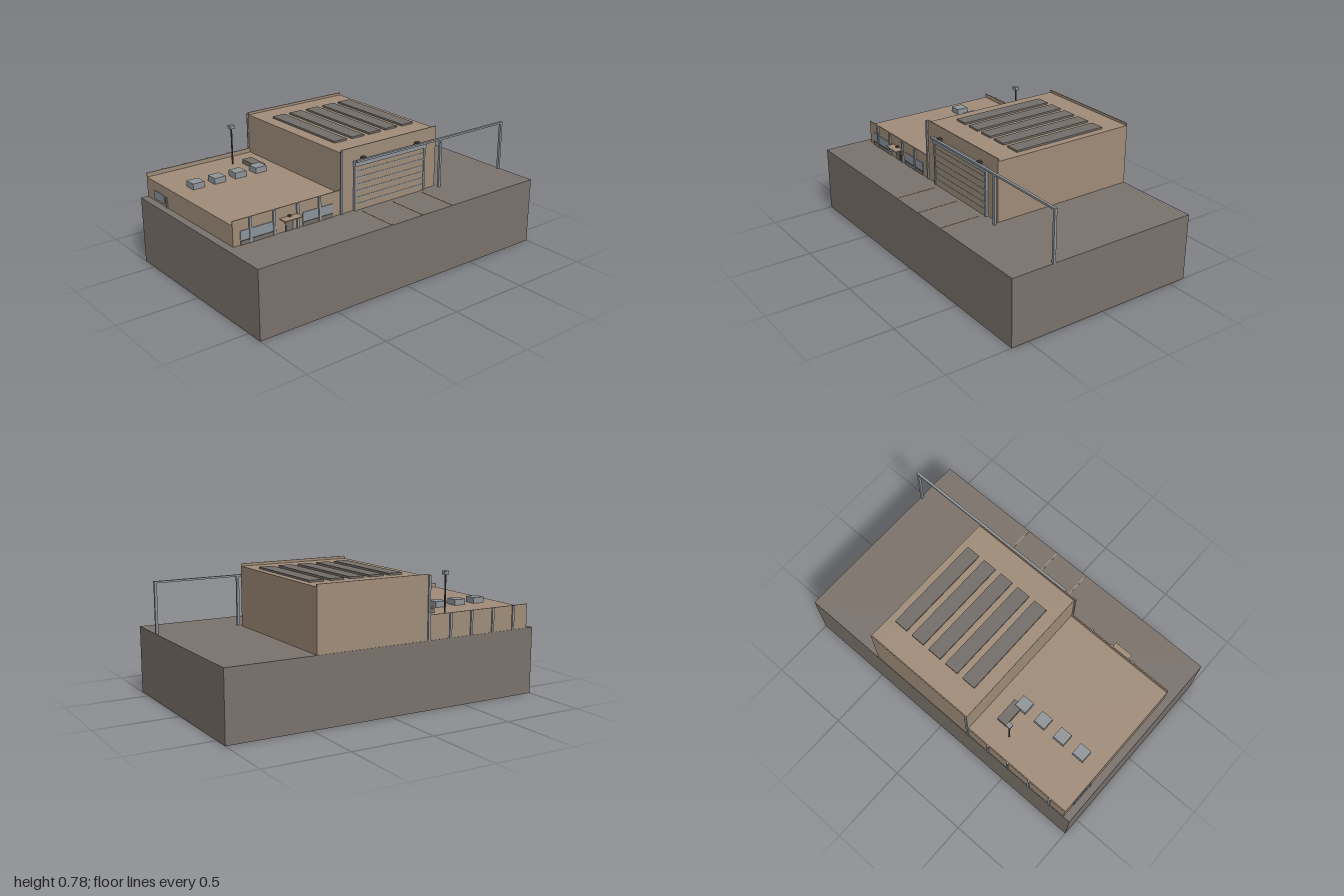
import * as THREE from 'three';

const mat = (name, color, side = THREE.FrontSide) => {
  const m = new THREE.MeshStandardMaterial({ color, side });
  m.name = name;
  return m;
};

export function createModel() {
  const model = new THREE.Group();
  model.name = 'depotBuilding';
  const tan = mat('tanWall', 0xa08c79);
  const ground = mat('groundBrownGrey', 0x7b726b, THREE.DoubleSide);
  const panel = mat('panelGrey', 0x746e69);
  const steel = mat('steelGrey', 0x90959a);
  const glass = mat('windowGlass', 0x8b949c);
  const dark = mat('darkMetal', 0x45423f);

  // box given by its extents along each axis
  const box = (name, m, [x0, x1], [y0, y1], [z0, z1]) => {
    const mesh = new THREE.Mesh(new THREE.BoxGeometry(x1 - x0, y1 - y0, z1 - z0), m);
    mesh.position.set((x0 + x1) / 2, (y0 + y1) / 2, (z0 + z1) / 2);
    mesh.name = name;
    model.add(mesh);
    return mesh;
  };
  const around = (c, w) => [c - w / 2, c + w / 2];

  // Ground block: open underneath, so the bottom face is dropped
  const G = 0.405, F = 0.31, B = -0.603;
  const base = box('groundBlock', ground, [-1, 1], [0, G], [-0.605, 0.605]);
  const index = Array.from(base.geometry.index.array);
  index.splice(18, 6);
  base.geometry.setIndex(index);
  base.geometry.clearGroups();

  // Two main volumes with low parapets along front and back
  const volumes = [['annex', [-0.955, -0.243], 0.525, 0.55], ['hall', [-0.243, 0.468], 0.765, 0.78]];
  for (const [name, x, roof, top] of volumes) {
    box(name, tan, x, [G, roof], [B, F]);
    box(name + 'FrontParapet', tan, x, [roof, top], [F - 0.006, F]);
    box(name + 'BackParapet', tan, x, [roof, top], [B, B + 0.006]);
  }

  // Pilasters on front and back walls
  for (const [z0, z1] of [[F, F + 0.009], [B - 0.008, B]]) {
    for (const x of [-0.848, -0.697, -0.543, -0.395]) box('annexPilaster', steel, around(x, 0.014), [G, 0.55], [z0, z1]);
    box('hallPilaster', steel, around(-0.244, 0.014), [G, 0.775], [z0, z1]);
  }

  // Annex front windows with plinths, entrance door and canopy
  for (const [x0, x1] of [[-0.91, -0.685], [-0.51, -0.305]]) {
    box('window', glass, [x0, x1], [0.43, 0.485], [F, F + 0.004]);
    box('windowPlinth', panel, [x0, x1], [G, 0.428], [F, F + 0.005]);
    box('windowSill', dark, [x0, x1], [0.426, 0.43], [F, F + 0.006]);
  }
  box('doorFrame', dark, [-0.627, -0.573], [G, 0.475], [F, F + 0.003]);
  box('entranceDoor', panel, [-0.621, -0.579], [G, 0.469], [F, F + 0.005]);
  box('canopy', tan, [-0.66, -0.54], [0.483, 0.488], [F, 0.362]);
  box('entranceLamp', dark, around(-0.6, 0.016), [0.488, 0.496], [F, 0.325]);

  // Side window and downpipe on the annex end wall
  box('endWindow', glass, [-0.959, -0.955], [0.42, 0.47], [-0.52, -0.4]);
  box('endPipe', steel, [-0.961, -0.955], [G, 0.47], around(-0.375, 0.012));

  // Sliding hall door with bands, rows of slots, jambs and header
  box('hallDoor', tan, [-0.145, 0.37], [G, 0.675], [F, 0.322]);
  for (const y of [0.443, 0.482, 0.522, 0.56, 0.6, 0.637])
    box('doorBand', steel, [-0.145, 0.37], around(y, 0.008), [0.322, 0.324]);
  for (const x of [-0.15, 0.368]) box('doorJamb', steel, around(x, 0.012), [G, 0.67], [F, 0.326]);
  box('doorHeader', steel, [-0.157, 0.376], [0.67, 0.7], [F, 0.33]);
  for (const x of [-0.093, 0.31]) box('railHanger', dark, around(x, 0.024), [0.695, 0.716], [F, 0.334]);

  // Overhead rail running past the hall on two posts
  box('doorRail', steel, [-0.157, 1], [0.7, 0.711], [0.332, 0.348]);
  for (const x of [0.478, 0.992]) box('railPost', steel, around(x, 0.015), [G, 0.701], [0.333, 0.348]);

  // Painted bay lines
  for (const x of [-0.118, 0.11, 0.34]) box('bayLine', tan, around(x, 0.008), [G, G + 0.002], [0.35, 0.597]);

  // Roof panels, vents and plant box
  for (let i = 0; i < 5; i++) box('roofPanel', panel, around(-0.123 + i * 0.126, 0.087), [0.765, 0.776], [-0.45, 0.155]);
  for (let i = 0; i < 4; i++) box('roofVent', steel, around(-0.814 + i * 0.14, 0.074), [0.525, 0.56], [-0.326, -0.252]);
  box('plantBox', panel, [-0.395, -0.332], [0.525, 0.552], [-0.45, -0.302]);

  // Lamp mast on the annex roof
  const mast = new THREE.Mesh(new THREE.CylinderGeometry(0.005, 0.005, 0.225, 8), dark);
  mast.position.set(-0.446, 0.637, -0.479);
  mast.name = 'mast';
  model.add(mast);
  box('mastHead', steel, around(-0.446, 0.03), [0.747, 0.768], around(-0.479, 0.028));

  return model;
}
